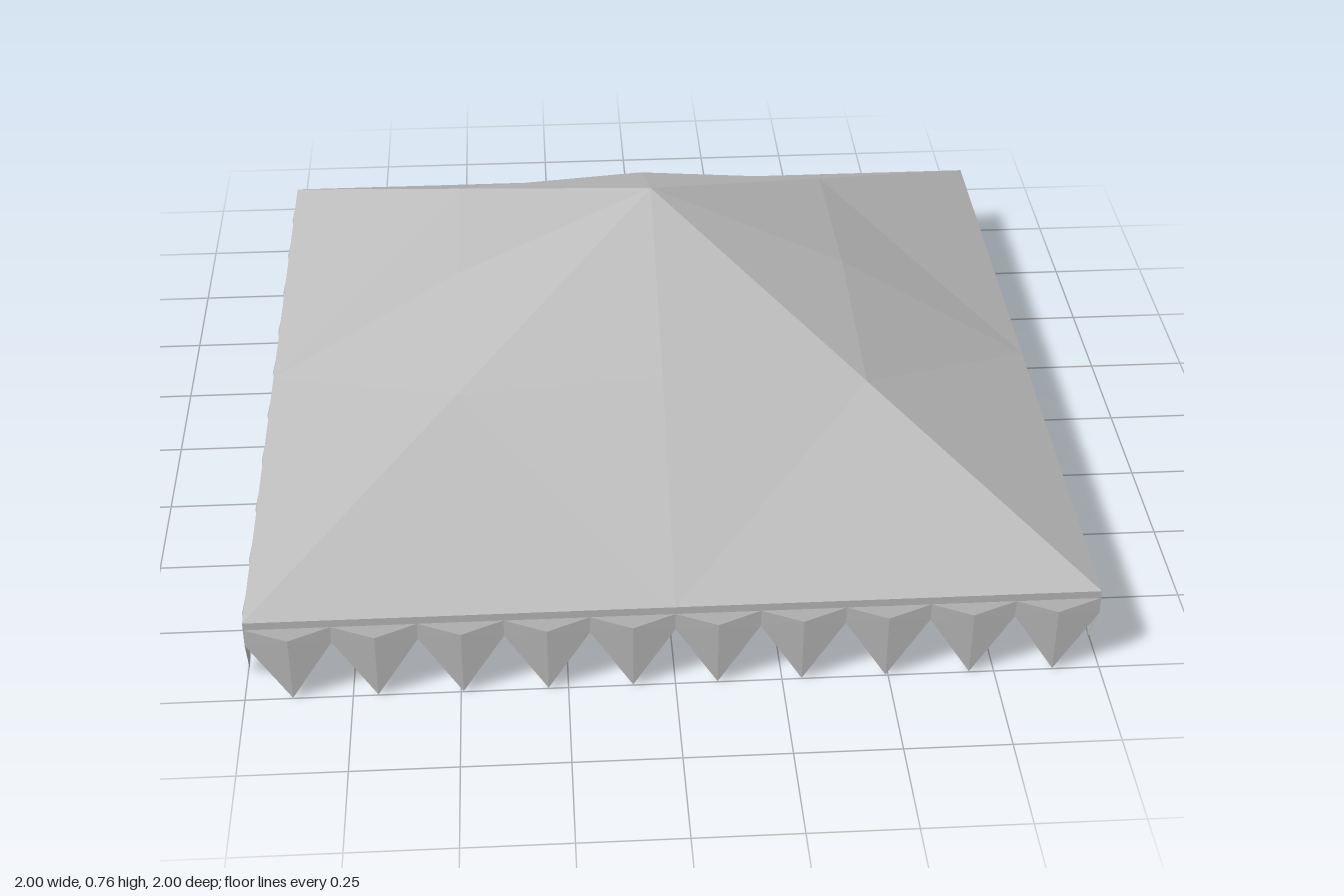
import * as THREE from 'three';

const EDGE = 0.988;   // half width of the roof
const EAVE = 0.22, APEX = 0.76;
const TEETH = 10;

// Flat faceted surface from a list of triangles, each with three points
function facets(triangles) {
  const geometry = new THREE.BufferGeometry();
  geometry.setAttribute('position', new THREE.Float32BufferAttribute(triangles.flat(2), 3));
  geometry.computeVertexNormals();
  return geometry;
}

// One sloping side: raised in the middle, straight along the hips
function roofSide() {
  const half = EDGE / 2;
  const apex = [0, APEX, 0], mid = [0, 0.525, half], edge = [0, EAVE, EDGE];
  const hipL = [-half, (APEX + EAVE) / 2, half], hipR = [half, (APEX + EAVE) / 2, half];
  const cornerL = [-EDGE, EAVE, EDGE], cornerR = [EDGE, EAVE, EDGE];
  return facets([
    [apex, hipL, mid], [apex, mid, hipR],
    [mid, hipL, edge], [mid, edge, hipR],
    [hipL, cornerL, edge], [hipR, edge, cornerR],
  ]);
}

// Narrow upright band below the eave
function eaveBand() {
  const a = [-EDGE, EAVE, EDGE], b = [EDGE, EAVE, EDGE];
  const c = [-EDGE, 0.2, EDGE], d = [EDGE, 0.2, EDGE];
  return facets([[a, c, b], [b, c, d]]);
}

// Row of pointed, slightly puffed flaps
function valance() {
  const step = 2 * EDGE / TEETH, triangles = [];
  for (let i = 0; i < TEETH; i++) {
    const x0 = -EDGE + i * step, x1 = x0 + step, x = (x0 + x1) / 2;
    const topL = [x0, 0.2, EDGE], topR = [x1, 0.2, EDGE];
    const lowL = [x0, 0.155, EDGE], lowR = [x1, 0.155, EDGE];
    const bulge = [x, 0.172, 1], tip = [x, 0, 0.998];
    triangles.push(
      [topL, bulge, topR], [topL, lowL, bulge], [topR, bulge, lowR],
      [lowL, tip, bulge], [bulge, tip, lowR],
    );
  }
  return facets(triangles);
}

export function createModel() {
  const canvas = new THREE.MeshStandardMaterial({ color: 0xbcbcbc, flatShading: true, side: THREE.DoubleSide });
  canvas.name = 'grey canvas';

  const model = new THREE.Group();
  model.name = 'canopy';
  const parts = { roofSide: roofSide(), eaveBand: eaveBand(), valance: valance() };

  // Same panel on all four sides
  for (let i = 0; i < 4; i++) {
    const side = new THREE.Group();
    side.name = ['front', 'left', 'back', 'right'][i] + 'Panel';
    for (const [name, geometry] of Object.entries(parts)) {
      const mesh = new THREE.Mesh(geometry, canvas);
      mesh.name = name;
      side.add(mesh);
    }
    side.rotation.y = i * Math.PI / 2;
    model.add(side);
  }
  return model;
}
